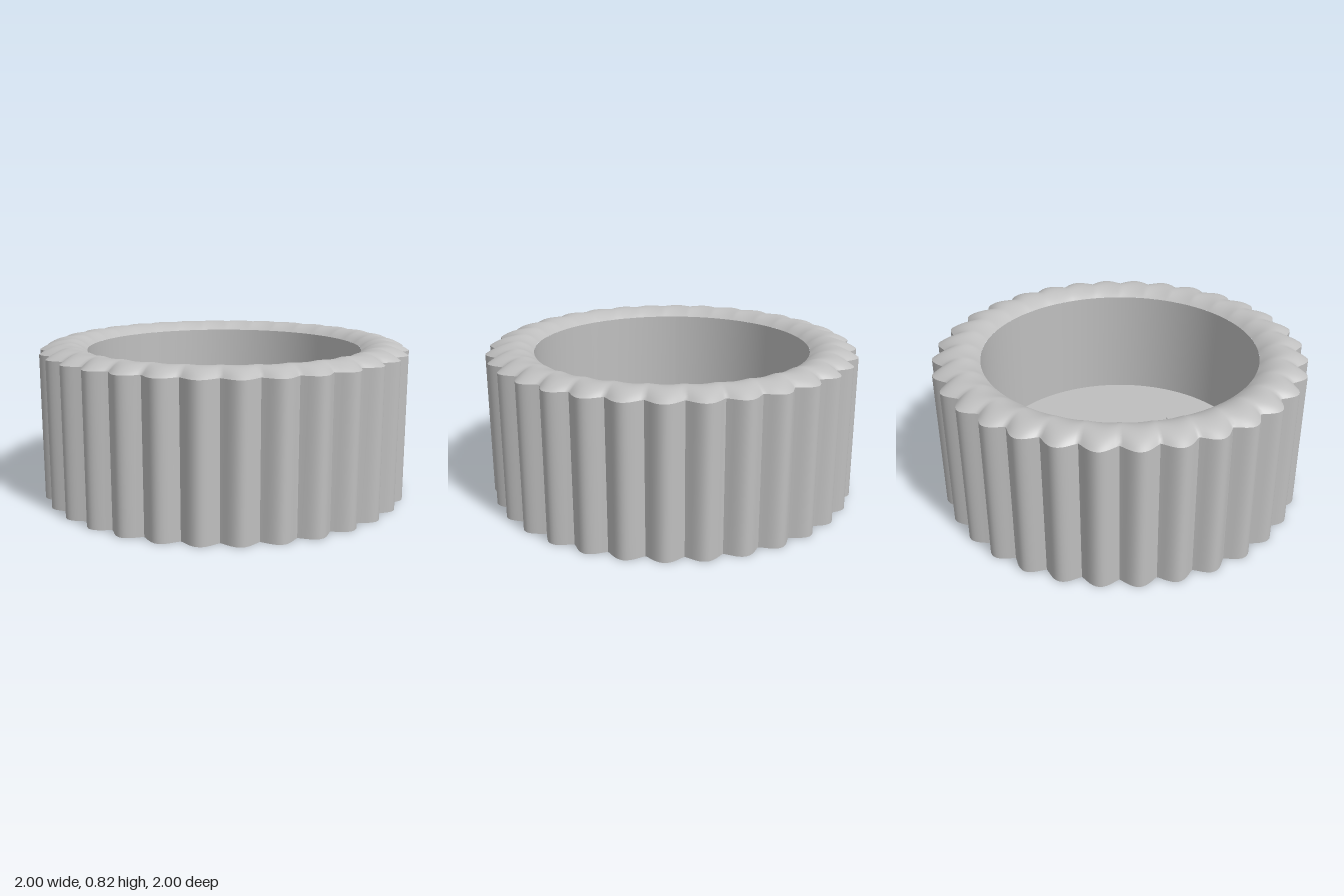
import * as THREE from 'three';
import { mergeVertices } from 'three/addons/utils/BufferGeometryUtils.js';

const LOBES = 32, VALLEY = 0.942, DEPTH = 0.058;
const INNER = 0.745, EDGE_Y = 0.777, TOP_Y = 0.82, FLOOR_Y = 0.165;
const STEP = (Math.PI * 2) / LOBES;

// Scalloped outer radius: rounded peaks with sharp valleys
const outerRadius = (a) => VALLEY + DEPTH * Math.pow(Math.abs(Math.cos(a * LOBES / 2)), 1.2);

// Grid surface from a rule (u, v) -> [x, y, z]
function surface(nu, nv, rule) {
  const geo = new THREE.PlaneGeometry(1, 1, nu, nv);
  const pos = geo.attributes.position;
  for (let i = 0; i < pos.count; i++) {
    pos.setXYZ(i, ...rule(pos.getX(i) + 0.5, pos.getY(i) + 0.5));
  }
  geo.computeVertexNormals();
  return geo;
}

export function createModel() {
  const model = new THREE.Group();
  const grey = new THREE.MeshStandardMaterial({ color: 0xbfbfbf });
  grey.name = 'grey';

  const add = (name, geo, parent = model) => {
    const mesh = new THREE.Mesh(geo, grey);
    mesh.name = name;
    parent.add(mesh);
    return mesh;
  };

  // Fluted outer wall, one patch per lobe so the valleys stay sharp
  const wall = new THREE.Group();
  wall.name = 'flutedWall';
  model.add(wall);
  const lobe = surface(12, 1, (u, v) => {
    const a = (u - 0.5) * STEP, r = outerRadius(a);
    return [r * Math.sin(a), v * EDGE_Y, r * Math.cos(a)];
  });
  for (let i = 0; i < LOBES; i++) add('flute', lobe, wall).rotation.y = i * STEP;

  // Domed rim whose waves fade towards the bore
  let rim = surface(LOBES * 12, 14, (u, v) => {
    const a = (u - 0.5 / LOBES) * Math.PI * 2;
    const r = THREE.MathUtils.lerp(outerRadius(a), INNER, v);
    const y = EDGE_Y + (TOP_Y - EDGE_Y) * (1 - (2 * v - 1) ** 2);
    return [r * Math.sin(a), y, r * Math.cos(a)];
  });
  rim.deleteAttribute('uv');
  rim.deleteAttribute('normal');
  rim = mergeVertices(rim, 1e-5);
  rim.computeVertexNormals();
  add('rim', rim);

  // Bore wall, facing inwards
  add('boreWall', surface(128, 1, (u, v) => {
    const a = -u * Math.PI * 2;
    return [INNER * Math.sin(a), FLOOR_Y + v * (EDGE_Y - FLOOR_Y), INNER * Math.cos(a)];
  }));

  // Floor of the bore
  const floor = add('floor', new THREE.CircleGeometry(INNER, 128).rotateX(-Math.PI / 2));
  floor.position.y = FLOOR_Y;

  // Underside with the scalloped outline
  const outline = [];
  for (let i = 0; i < LOBES * 12; i++) {
    const a = (i / 12 - 0.5) * STEP, r = outerRadius(a);
    outline.push(new THREE.Vector2(r * Math.sin(a), r * Math.cos(a)));
  }
  add('underside', new THREE.ShapeGeometry(new THREE.Shape(outline)).rotateX(Math.PI / 2));

  // Three low round bosses on the floor
  const bossHeight = 0.07;
  const bossGeo = new THREE.CylinderGeometry(0.087, 0.087, bossHeight, 40);
  for (let i = 0; i < 3; i++) {
    const a = Math.PI + (i * Math.PI * 2) / 3;
    add('boss', bossGeo).position.set(0.427 * Math.sin(a), FLOOR_Y + bossHeight / 2, 0.427 * Math.cos(a));
  }
  return model;
}
